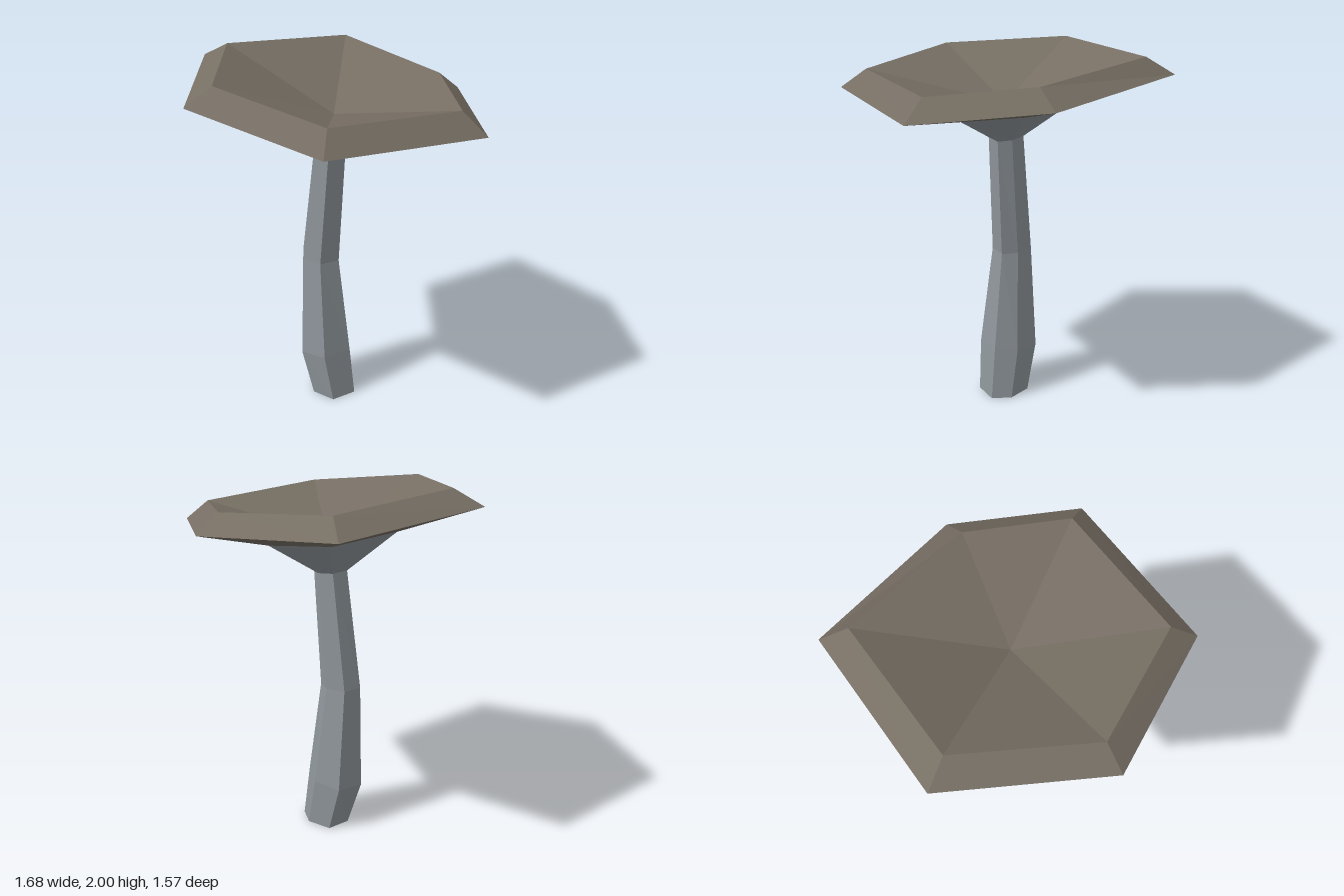
import * as THREE from 'three';

// Joins six-sided rings (or single points) from bottom to top into a faceted skin.
// Ring corners run: left, back left, back right, right, front right, front left.
function loft(rings) {
  const pos = [];
  for (let r = 0; r < rings.length - 1; r++) {
    const a = rings[r], b = rings[r + 1];
    for (let i = 0; i < 6; i++) {
      const j = (i + 1) % 6;
      const a0 = a[i % a.length], a1 = a[j % a.length];
      const b0 = b[i % b.length], b1 = b[j % b.length];
      if (b.length > 1) pos.push(...a0, ...b0, ...b1);
      if (a.length > 1) pos.push(...a0, ...b1, ...a1);
    }
  }
  const g = new THREE.BufferGeometry();
  g.setAttribute('position', new THREE.Float32BufferAttribute(pos, 3));
  g.computeVertexNormals();
  return g;
}

// Stem ring: outer left/right x, inner left/right x, front and back z, height at left and right
function stemRing(xl, xr, il, ir, zf, zb, yl, yr) {
  const y = (x) => yl + ((yr - yl) * (x - xl)) / (xr - xl);
  return [
    [xl, 0], [il, zb], [ir, zb * 0.8], [xr, 0], [ir, zf], [il, zf * 0.93],
  ].map(([x, z]) => [x, y(x), z]);
}

export function createModel() {
  const group = new THREE.Group();
  const stemGrey = new THREE.MeshStandardMaterial({ color: 0x8e959a });
  const capBrown = new THREE.MeshStandardMaterial({ color: 0x766e63 });
  stemGrey.name = 'stemGrey';
  capBrown.name = 'capBrown';
  stemGrey.flatShading = capBrown.flatShading = true;

  const add = (name, rings, material) => {
    const mesh = new THREE.Mesh(loft(rings), material);
    mesh.name = name;
    group.add(mesh);
  };

  const neck = stemRing(-0.13, 0.06, -0.08, 0.01, 0.09, -0.075, 1.53, 1.51);
  const flare = [
    [-0.40, 1.76, 0], [-0.19, 1.74, -0.35], [0.20, 1.69, -0.26],
    [0.38, 1.67, 0], [0.19, 1.69, 0.35], [-0.19, 1.74, 0.33],
  ];
  const rim = [
    [-0.84, 1.92, 0], [-0.40, 1.87, -0.79], [0.44, 1.78, -0.56],
    [0.84, 1.73, 0], [0.40, 1.78, 0.78], [-0.40, 1.87, 0.72],
  ];
  const lip = [
    [-0.68, 2.0, 0], [-0.32, 1.96, -0.66], [0.38, 1.88, -0.44],
    [0.70, 1.84, 0], [0.34, 1.88, 0.65], [-0.32, 1.96, 0.60],
  ];

  // Crooked stem, closed at the foot
  add('stem', [
    [[-0.01, 0, 0]],
    stemRing(-0.15, 0.13, -0.08, 0.06, 0.13, -0.115, 0, 0),
    stemRing(-0.23, 0.095, -0.145, 0.015, 0.15, -0.13, 0.265, 0.295),
    stemRing(-0.215, 0.02, -0.155, -0.04, 0.10, -0.085, 0.87, 0.86),
    neck,
  ], stemGrey);

  // Flared gills under the cap
  add('gills', [neck, flare], stemGrey);

  // Tilted cap: underside, bevelled rim and sunken top
  add('cap', [flare, rim, lip, [[-0.01, 1.71, 0]]], capBrown);

  return group;
}
